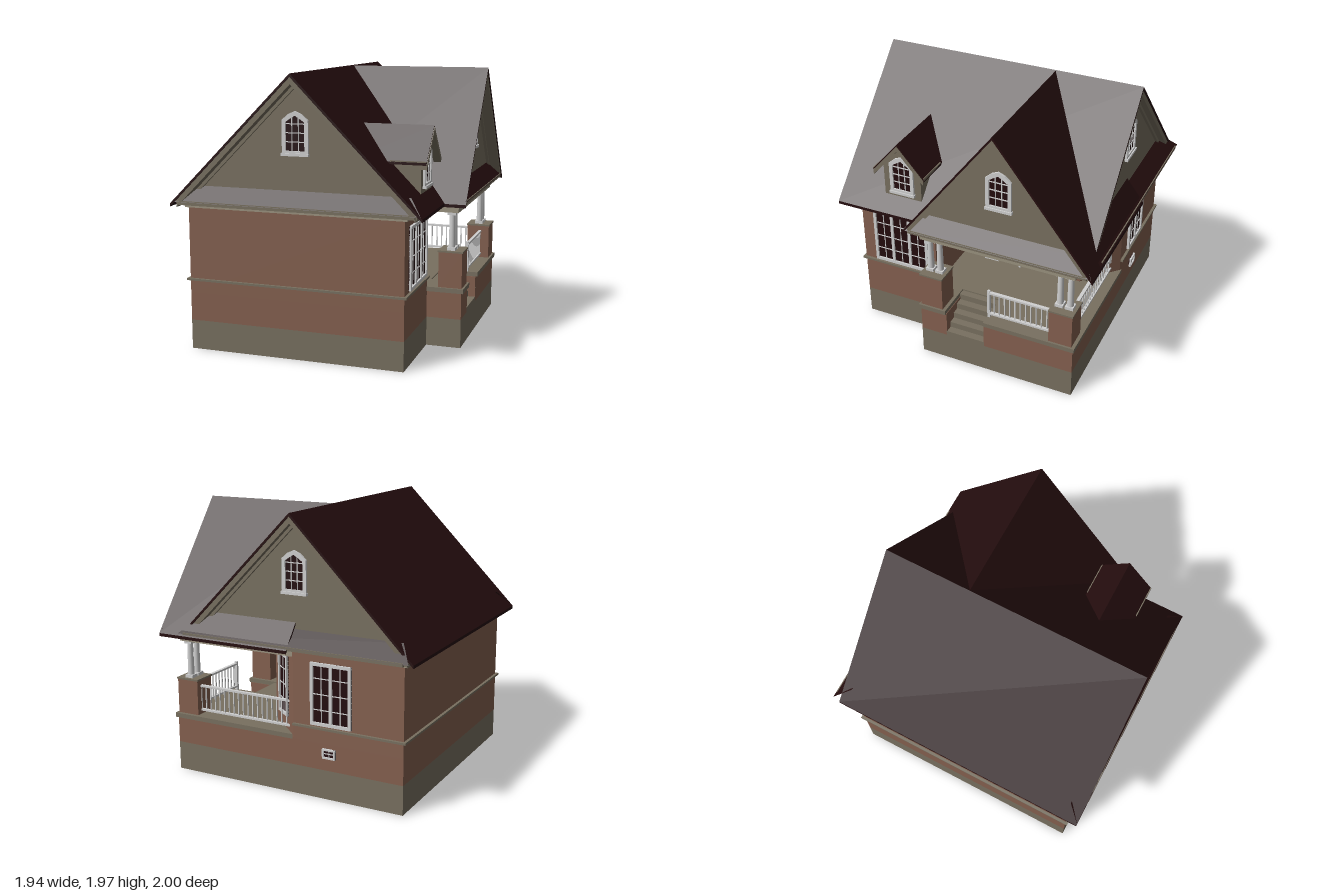
import * as THREE from 'three';

const mat = (name, color) => {
  const m = new THREE.MeshStandardMaterial({ color, side: THREE.DoubleSide });
  m.name = name;
  return m;
};

export function createModel() {
  const brick = mat('brick', 0x84604f), stone = mat('stone', 0x787060);
  const trim = mat('pale trim', 0x9a927f), white = mat('white paint', 0xd0d0d0);
  const roofMat = mat('dark red roof', 0x260e0f), glass = mat('dark glass', 0x230b0d);

  const house = new THREE.Group();
  house.name = 'house';
  const add = (parent, name, geo, material) => {
    const m = new THREE.Mesh(geo, material);
    m.name = name;
    parent.add(m);
    return m;
  };
  // box given by its min and max on each axis
  const box = (parent, name, material, x0, x1, y0, y1, z0, z1) => {
    const m = add(parent, name, new THREE.BoxGeometry(Math.abs(x1 - x0), y1 - y0, Math.abs(z1 - z0)), material);
    m.position.set((x0 + x1) / 2, (y0 + y1) / 2, (z0 + z1) / 2);
    return m;
  };
  const frame = (name, x, z, turn) => {
    const g = new THREE.Group();
    g.name = name;
    g.position.set(x, 0, z);
    g.rotation.y = turn;
    house.add(g);
    return g;
  };
  const poly = (pts) => new THREE.Shape(pts.map((p) => new THREE.Vector2(p[0], p[1])));
  const extrude = (shape, z0, z1) =>
    new THREE.ExtrudeGeometry(shape, { depth: z1 - z0, bevelEnabled: false }).translate(0, 0, z0);
  const quads = (list) => {
    const pos = [];
    for (const [a, b, c, d] of list) pos.push(...a, ...b, ...c, ...a, ...c, ...d);
    const g = new THREE.BufferGeometry();
    g.setAttribute('position', new THREE.Float32BufferAttribute(pos, 3));
    g.computeVertexNormals();
    return g;
  };
  // upright walls following plan points [x, z]
  const walls = (name, material, pts, y0, y1) => {
    const list = [];
    for (let i = 0; i < pts.length - 1; i++) {
      const [ax, az] = pts[i], [bx, bz] = pts[i + 1];
      list.push([[ax, y0, az], [bx, y0, bz], [bx, y1, bz], [ax, y1, az]]);
    }
    add(house, name, quads(list), material);
  };
  // horizontal slab from plan points [x, z]
  const slab = (name, material, pts, y0, y1) =>
    add(house, name, extrude(poly(pts.map(([x, z]) => [x, -z])), y0, y1).rotateX(-Math.PI / 2), material);
  // inverted V band under a ridge
  const chevron = (half, top, slope, t) => {
    const low = top - half * slope;
    return poly([[-half, low], [-half, low - t], [0, top - t], [half, low - t], [half, low], [0, top]]);
  };

  // Foundation, lower brick and floors
  const base = [[0.93, -0.2], [0.93, -0.87], [-0.88, -0.87], [-0.88, 0.9], [0.68, 0.9], [0.68, 0.3], [0.93, 0.3], [0.93, 0.1]];
  walls('foundation', stone, [...base, base[0]], 0, 0.21);
  walls('lowerBrick', brick, base, 0.21, 0.41);
  const body = [[0.68, 0.3], [0.22, 0.3], [0.22, -0.65], [-0.05, -0.87], [-0.88, -0.87], [-0.88, 0.9], [0.68, 0.9]];
  walls('houseWalls', brick, [...body, body[0]], 0.4, 1.05);
  slab('houseFloor', brick, body, 0.395, 0.4);
  slab('porchFloor', stone, [[0.2, 0.31], [0.945, 0.31], [0.945, 0.1], [0.66, 0.1], [0.66, -0.2], [0.945, -0.2],
    [0.945, -0.885], [-0.05, -0.885], [0.2, -0.65]], 0.402, 0.435);

  // Stairs set into the porch
  for (let i = 0; i < 5; i++) box(house, 'step', stone, 0.66, 0.93 - i * 0.055, 0.2 + i * 0.045, 0.245 + i * 0.045, -0.2, 0.1);
  for (const z of [0.1, -0.2]) box(house, 'stairCheek', brick, 0.66, 0.929, 0.21, 0.402, z - 0.004, z + 0.004);

  // Belt course
  box(house, 'belt', stone, -0.9, 0.7, 0.502, 0.517, 0.89, 0.92);
  box(house, 'belt', stone, -0.9, -0.87, 0.502, 0.517, -0.89, 0.92);
  box(house, 'belt', stone, -0.9, -0.05, 0.502, 0.517, -0.89, -0.86);
  box(house, 'belt', stone, 0.67, 0.7, 0.502, 0.517, 0.3, 0.92);

  // Frieze, porch beams and soffits
  walls('frieze', trim, [[0.7, 0.3], [0.7, 0.92], [-0.9, 0.92], [-0.9, -0.89], [-0.05, -0.89]], 1.025, 1.06);
  box(house, 'porchBeam', trim, 0.8, 0.9, 0.98, 1.05, -0.86, 0.3);
  box(house, 'porchBeam', trim, -0.05, 0.9, 0.98, 1.05, -0.86, -0.77);
  box(house, 'porchBeam', trim, 0.68, 0.8, 0.98, 1.05, 0.22, 0.3);
  box(house, 'soffit', stone, -0.93, 0.78, 1.05, 1.068, -0.95, 0.98);
  box(house, 'porchSoffit', stone, 0.1, 0.945, 1.051, 1.069, -0.96, 0.36);

  // Window with a peaked head, centred on x = 0 of its frame, standing on depth d
  const peakWindow = (g, y0, d) => {
    const outline = (w, a, s, t) => [[-w, a], [w, a], [w, s], [w * 0.5, t - 0.02], [0, t], [-w * 0.5, t - 0.02], [-w, s]];
    const s = poly(outline(0.093, y0, y0 + 0.235, y0 + 0.295));
    s.holes.push(poly(outline(0.067, y0 + 0.03, y0 + 0.222, y0 + 0.265)));
    add(g, 'windowFrame', extrude(s, d, d + 0.016), white);
    add(g, 'windowGlass', extrude(poly(outline(0.068, y0 + 0.03, y0 + 0.222, y0 + 0.266)), d, d + 0.004), glass);
    for (const x of [-0.023, 0.023]) box(g, 'muntin', white, x - 0.003, x + 0.003, y0 + 0.03, y0 + 0.25, d + 0.004, d + 0.01);
    for (const y of [0.09, 0.15, 0.21]) box(g, 'muntin', white, -0.067, 0.067, y0 + y - 0.003, y0 + y + 0.003, d + 0.004, d + 0.01);
    box(g, 'windowSill', white, -0.098, 0.098, y0 - 0.004, y0 + 0.015, d, d + 0.025);
  };

  // Casement window of n panels in a wall frame
  const window = (g, w, y0, y1, n, rows = 4) => {
    const h = w / 2, b = Math.min(0.022, w * 0.12);
    box(g, 'windowGlass', glass, -h, h, y0, y1, 0, 0.005);
    for (const s of [-1, 1]) box(g, 'windowFrame', white, s * h, s * (h - b), y0, y1, 0, 0.018);
    for (const y of [y0, y1 - b]) box(g, 'windowFrame', white, -h, h, y, y + b, 0, 0.018);
    const step = (w - b) / n;
    for (let i = 0; i < n; i++) {
      const x = -h + b / 2 + i * step;
      if (i) box(g, 'mullion', white, x - b / 2, x + b / 2, y0, y1, 0, 0.016);
      box(g, 'muntin', white, x + step / 2 - 0.003, x + step / 2 + 0.003, y0, y1, 0.004, 0.01);
    }
    for (let r = 1; r < rows; r++) {
      const y = y0 + ((y1 - y0) * r) / rows;
      box(g, 'muntin', white, -h, h, y - 0.003, y + 0.003, 0.004, 0.01);
    }
  };
  const east = Math.PI / 2;
  window(frame('sideWindow', 0.68, 0.58, east), 0.44, 0.53, 0.97, 3);
  window(frame('porchWindow', 0.22, -0.425, east), 0.35, 0.53, 0.97, 2);
  window(frame('angledWindow', 0.085, -0.76, Math.atan2(0.22, -0.27)), 0.17, 0.53, 0.97, 1);
  window(frame('backWindow', -0.345, -0.87, Math.PI), 0.31, 0.53, 0.97, 2);
  window(frame('backVent', -0.33, -0.87, Math.PI), 0.1, 0.3, 0.37, 1, 2);

  // Main roof and cross roof
  const top = 1.965, eave = 1.062;
  const mainHalf = 0.895, crossHalf = 0.7;
  const mainSlope = (top - eave) / mainHalf, crossSlope = (top - eave) / crossHalf;
  const main = frame('mainRoof', -0.075, 0, 0);
  add(main, 'mainRoofSlopes', extrude(chevron(mainHalf, top, mainSlope, 0.022), -0.94, 1), roofMat);
  const cross = frame('crossRoof', 0, -0.3, east);
  add(cross, 'crossRoofSlopes', extrude(chevron(crossHalf, top - 0.004, crossSlope, 0.022), -0.075, 0.97), roofMat);

  // Gable end: wall, rake boards, pent roof and peaked window
  const gable = (g, half, slope, tip, wall, windowY, pentTip = tip) => {
    const low = 1.1, w = (top - 0.02 - low) / slope;
    add(g, 'gableWall', extrude(poly([[-w, low], [w, low], [0, top - 0.02]]), wall - 0.01, wall), stone);
    add(g, 'rakeBoard', extrude(chevron(half - 0.045, top - 0.02, slope, 0.05), wall, tip - 0.006), stone);
    add(g, 'innerRake', extrude(chevron(half - 0.11, top - 0.07, slope, 0.03), wall, wall + 0.02), stone);
    const u = half - 0.1;
    add(g, 'pentRoof', quads([[[-half + 0.01, eave + 0.012, pentTip], [half - 0.01, eave + 0.012, pentTip],
      [u, 1.18, wall], [-u, 1.18, wall]]]), roofMat);
    box(g, 'pentFascia', stone, -half + 0.05, half - 0.05, eave - 0.005, eave + 0.02, pentTip - 0.02, pentTip - 0.002);
    peakWindow(g, windowY, wall);
  };
  gable(frame('frontGable', -0.075, 0, 0), mainHalf, mainSlope, 1, 0.9, 1.42);
  gable(frame('backGable', -0.075, 0, Math.PI), mainHalf, mainSlope, 0.94, 0.87, 1.42, 0.995);
  gable(frame('sideGable', 0, -0.3, east), crossHalf, crossSlope, 0.97, 0.87, 1.365);

  // Dormer
  const dormer = frame('dormer', 0, 0.515, east);
  add(dormer, 'dormerWall', extrude(poly([[-0.145, 1.16], [0.145, 1.16], [0.145, 1.43], [0, 1.59], [-0.145, 1.43]]), 0.3, 0.72), stone);
  add(dormer, 'dormerRoof', extrude(chevron(0.2, 1.612, 1.15, 0.018), 0.25, 0.77), roofMat);
  add(dormer, 'dormerFascia', extrude(chevron(0.196, 1.6, 1.15, 0.04), 0.72, 0.774), stone);
  for (const s of [-1, 1]) box(dormer, 'dormerEave', stone, s * 0.17, s * 0.2, 1.372, 1.39, 0.52, 0.77);
  peakWindow(dormer, 1.195, 0.72);

  // Brick piers with paired columns
  for (const z of [0.21, -0.775]) {
    box(house, 'pier', brick, 0.76, 0.93, 0.435, 0.69, z - 0.085, z + 0.085);
    box(house, 'pierCap', stone, 0.755, 0.935, 0.69, 0.702, z - 0.09, z + 0.09);
    for (const dz of [-0.037, 0.037]) {
      const shaft = add(house, 'column', new THREE.CylinderGeometry(0.02, 0.024, 0.28, 12), white);
      shaft.position.set(0.845, 0.842, z + dz);
      for (const y of [0.702, 0.958])
        box(house, 'columnBlock', white, 0.815, 0.875, y, y + 0.022, z + dz - 0.03, z + dz + 0.03);
    }
  }

  // Porch railings
  const railing = (x, z, turn, length) => {
    const g = frame('railing', x, z, turn);
    for (const y of [0.46, 0.64]) box(g, 'rail', white, 0, length, y, y + 0.014, -0.012, 0.012);
    const n = Math.round(length / 0.04);
    for (let i = 0; i <= n; i++) {
      const p = (length * i) / n;
      box(g, 'baluster', white, p - 0.004, p + 0.004, 0.46, 0.645, -0.004, 0.004);
    }
  };
  railing(0.86, -0.21, east, 0.48);
  railing(0.0, -0.81, 0, 0.76);
  box(house, 'newelPost', white, 0.85, 0.87, 0.435, 0.665, -0.22, -0.2);

  // Entrance
  const door = frame('entrance', 0.22, -0.03, east);
  box(door, 'doorPanel', trim, -0.14, 0.14, 0.435, 0.95, 0, 0.008);
  box(door, 'transom', glass, -0.135, 0.135, 0.89, 0.935, 0.008, 0.014);
  for (const s of [-1, 1]) box(door, 'doorJamb', white, s * 0.135, s * 0.15, 0.435, 0.95, 0, 0.025);
  box(door, 'doorHead', white, -0.15, 0.15, 0.935, 0.955, 0, 0.025);
  box(door, 'doorLeaf', white, -0.135, -0.035, 0.437, 0.84, 0.01, 0.024);
  box(door, 'doorSeam', stone, 0.05, 0.055, 0.437, 0.88, 0.008, 0.012);
  box(door, 'wallLamp', glass, -0.15, -0.12, 0.79, 0.84, 0.025, 0.05);

  return house;
}
